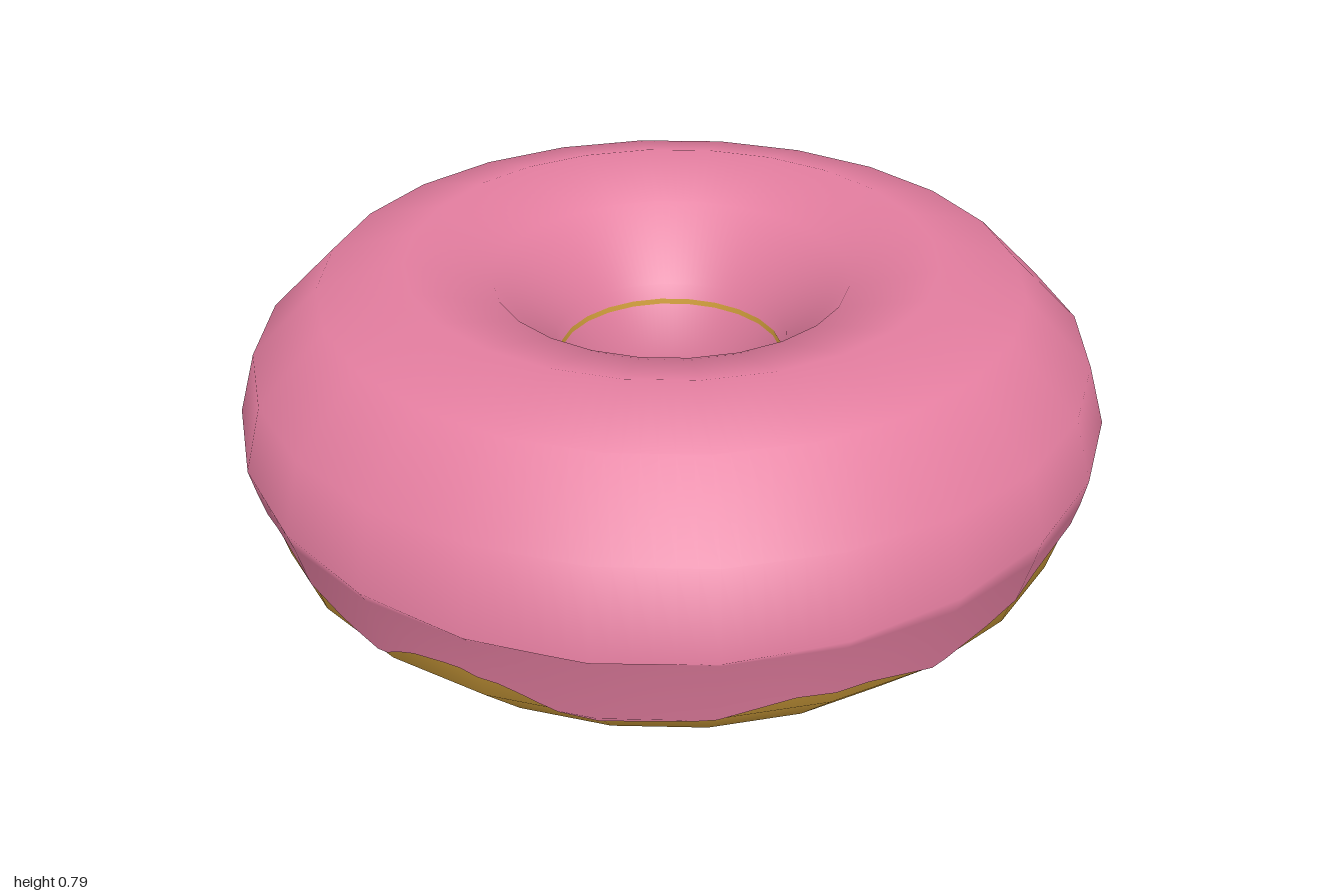
import * as THREE from 'three';

const SIDES = 24; // coarse sides of the ring
const SEGMENTS = 144; // fine steps, needed for the wavy icing edge

// Outer icing edge: [angle in degrees from the front towards +x, height]
const DRIPS = [
  [-163, 0.36], [-146, 0.24], [-130, 0.29], [-123, 0.28], [-117, 0.17], [-109, 0.15],
  [-100, 0.26], [-82, 0.33], [-75, 0.25], [-70, 0.19], [-66, 0.22], [-60, 0.3], [-54, 0.32], [-47, 0.28],
  [-39, 0.21], [-32, 0.19], [-26, 0.24], [-18, 0.26], [-12, 0.24], [-6, 0.19],
  [0, 0.16], [6, 0.165], [15, 0.19], [25, 0.225], [35, 0.22], [46, 0.188],
  [55, 0.22], [65, 0.285], [78, 0.32], [90, 0.3], [99, 0.305], [112, 0.35],
  [116, 0.31], [125, 0.245], [133, 0.25], [146, 0.285], [153, 0.16], [161, 0.28], [197, 0.36],
];

function lookup(table, x) {
  let i = 1;
  while (i < table.length - 1 && table[i][0] < x) i++;
  const [x0, y0] = table[i - 1], [x1, y1] = table[i];
  return THREE.MathUtils.lerp(y0, y1, THREE.MathUtils.clamp((x - x0) / (x1 - x0), 0, 1));
}

function outerEdge(angle) {
  let deg = THREE.MathUtils.radToDeg(angle);
  if (deg > 197) deg -= 360;
  return lookup(DRIPS, deg);
}

const innerEdge = (a) => 0.25 + 0.025 * Math.sin(7 * a) + 0.012 * Math.sin(11 * a + 1);

// Radius of the dough at a height below the equator
const OUTER = [[0.05, 0.785], [0.185, 0.925], [0.37, 0.98]];
const INNER = [[0.05, 0.425], [0.185, 0.285], [0.37, 0.237]];

// Lathe with a smooth-shaded, 24-sided outline; rule(j, angle) may replace a profile point
function ring(profile, rule) {
  const geo = new THREE.LatheGeometry(profile.map(([r, y]) => new THREE.Vector2(r, y)), SEGMENTS);
  const pos = geo.attributes.position;
  const n = profile.length;
  const step = (2 * Math.PI) / SIDES;
  for (let i = 0; i <= SEGMENTS; i++) {
    const a = (i / SEGMENTS) * 2 * Math.PI;
    const flat = Math.cos(step / 2) / Math.cos((a % step) - step / 2);
    for (let j = 0; j < n; j++) {
      const [r, y] = (rule && rule(j, a)) || profile[j];
      pos.setXYZ(i * n + j, r * flat * Math.sin(a), y, r * flat * Math.cos(a));
    }
  }
  return geo;
}

export function createModel() {
  const pink = new THREE.MeshStandardMaterial({ color: 0xe37d9f });
  pink.name = 'pinkIcing';
  pink.side = THREE.DoubleSide;
  const gold = new THREE.MeshStandardMaterial({ color: 0xd3a03c });
  gold.name = 'goldenDough';

  // Dough: its upper half is hidden under the icing
  const dough = new THREE.Mesh(ring([
    [0.26, 0.54], [0.237, 0.37], [0.285, 0.185], [0.425, 0.05], [0.605, 0],
    [0.785, 0.05], [0.925, 0.185], [0.98, 0.37], [0.95, 0.54],
  ]), gold);
  dough.name = 'dough';

  // Icing: from the outer drips over the top to the drips inside the hole
  const lift = 0.008;
  const shell = [
    [0.95, 0.23], [0.965, 0.29], [0.986, 0.365], [1, 0.4], [0.96, 0.575], [0.803, 0.735], [0.605, 0.79],
    [0.408, 0.735], [0.27, 0.575], [0.227, 0.4], [0.232, 0.365], [0.25, 0.29], [0.265, 0.23],
  ];
  const last = shell.length - 1;
  const icing = new THREE.Mesh(ring(shell, (j, a) => {
    if (j <= 1) {
      const e = outerEdge(a);
      const y = j === 0 ? e : Math.max(e + 0.002, 0.187);
      return [lookup(OUTER, y) + lift, y];
    }
    if (j === 3) return [1, 0.405 - 0.03 * Math.cos(2 * a)];
    if (j >= last - 1) {
      const e = innerEdge(a);
      const y = j === last ? e : (e + 0.365) / 2;
      return [lookup(INNER, y) - lift, y];
    }
    return null;
  }), pink);
  icing.name = 'icing';

  const group = new THREE.Group();
  group.name = 'ringDoughnut';
  group.add(dough, icing);
  return group;
}
